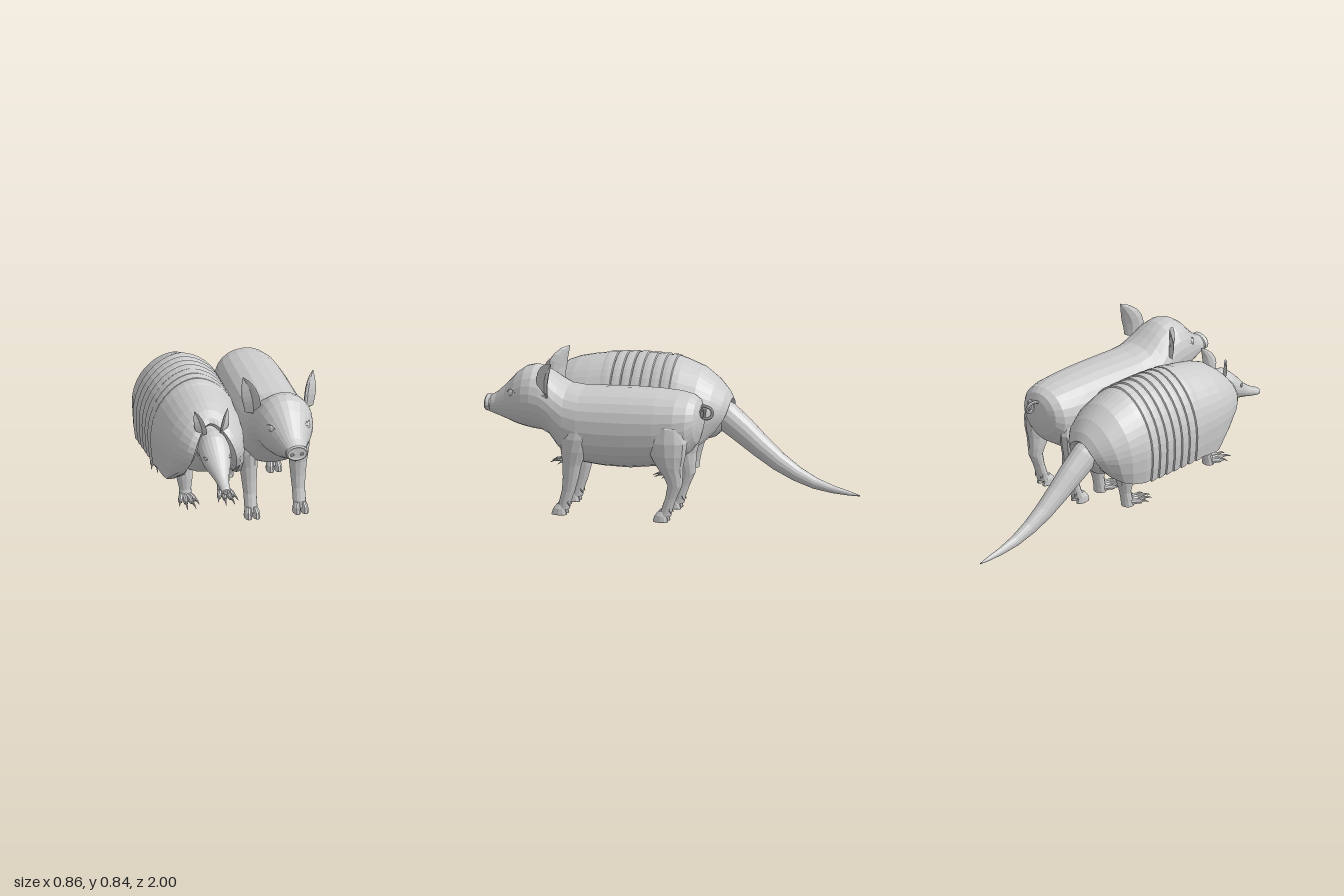
import * as THREE from 'three';

const material = new THREE.MeshStandardMaterial({ color: 0xcccccc, flatShading: true });
const shellMaterial = new THREE.MeshStandardMaterial({ color: 0xcccccc, flatShading: true, side: THREE.DoubleSide });
const V = (x, y, z) => new THREE.Vector3(x, y, z);
const X = V(1, 0, 0);
const spow = (v, e) => Math.sign(v) * Math.abs(v) ** e;

function add(parent, name, geometry, mat = material) {
  const flat = geometry.index ? geometry.toNonIndexed() : geometry;
  flat.computeVertexNormals();
  const mesh = new THREE.Mesh(flat, mat);
  mesh.name = name;
  parent.add(mesh);
  return mesh;
}

// Skin a list of equal-length point rings; closed rings also get end caps.
function loft(rings, closed = true) {
  const n = rings[0].length, index = [];
  const steps = closed ? n : n - 1;
  for (let i = 0; i < rings.length - 1; i++) {
    for (let j = 0; j < steps; j++) {
      const a = i * n + j, b = i * n + (j + 1) % n;
      index.push(a, b, a + n, b, b + n, a + n);
    }
  }
  if (closed) {
    const e = (rings.length - 1) * n;
    for (let j = 1; j < n - 1; j++) index.push(0, j + 1, j, e, e + j, e + j + 1);
  }
  const g = new THREE.BufferGeometry().setFromPoints(rings.flat());
  g.setIndex(index);
  return g;
}

// Elliptical ring across direction w; an exponent below 1 squares it off.
function ring(c, w, rx, rv, n, e = 1) {
  const v = w.clone().cross(X).normalize();
  return Array.from({ length: n }, (_, i) => {
    const a = (i / n) * Math.PI * 2;
    return c.clone().addScaledVector(X, rx * spow(Math.cos(a), e)).addScaledVector(v, rv * spow(Math.sin(a), e));
  });
}

// Rows of [z, bottom, top, halfWidth, exponent], running forwards.
const torso = (rows, n) => loft(rows.map(([z, b, t, w, e]) =>
  ring(V(0, (b + t) / 2, z), V(0, 0, 1), w, (t - b) / 2, n, e)));

// Rows of [y, x, z, halfWidth, halfDepth], running downwards.
const limb = (rows, n = 12) => loft(rows.map(([y, x, z, rx, rz]) =>
  ring(V(x, y, z), V(0, -1, 0), rx, rz, n)));

// Leaf-shaped cupped ear along a spine, hollow towards the front.
function ear(spine, across, halfWidth, thickness, base) {
  const curve = new THREE.CatmullRomCurve3(spine);
  const widths = [base, (1 + base) / 2, 1, 1, 0.85, 0.55, 0.04];
  const section = [[-1, 0.5], [-0.6, -0.6], [0, -1.1], [0.6, -0.6], [1, 0.5], [0.8, 0.55], [0, -0.4], [-0.8, 0.55]];
  return loft(widths.map((s, i) => {
    const t = i / (widths.length - 1);
    const p = curve.getPoint(t), w = curve.getTangent(t);
    const u = across.clone().addScaledVector(w, -across.dot(w)).normalize();
    const v = u.clone().cross(w);
    return section.map(([a, b]) => p.clone().addScaledVector(u, a * s * halfWidth)
      .addScaledVector(v, b * s * thickness)).reverse();
  }));
}

// Eyeball with almond lids, facing sideways and forwards.
function eye(parent, x, y, z, r) {
  const g = new THREE.Group();
  g.name = 'eye';
  add(g, 'eyeball', new THREE.SphereGeometry(r * 0.9, 10, 8));
  const lid = add(g, 'eyelids', new THREE.TorusGeometry(r * 1.05, r * 0.25, 5, 12));
  lid.scale.set(1.3, 0.85, 1);
  lid.rotation.z = 0.3;
  g.position.set(x, y, z);
  g.rotation.set(0, 0.95, 0);
  g.scale.z = 0.7;
  parent.add(g);
}

function bothSides(parent, name, build) {
  for (const s of [1, -1]) {
    const side = new THREE.Group();
    side.name = (s > 0 ? 'left ' : 'right ') + name;
    side.scale.x = s;
    build(side);
    parent.add(side);
  }
}

function createPig() {
  const pig = new THREE.Group();
  pig.name = 'pig';
  add(pig, 'body and head', torso([
    [-0.232, 0.52, 0.57, 0.025], [-0.226, 0.465, 0.62, 0.08], [-0.21, 0.41, 0.652, 0.125], [-0.175, 0.36, 0.673, 0.16, 0.95],
    [-0.11, 0.315, 0.684, 0.18, 0.9], [0, 0.275, 0.69, 0.19, 0.88], [0.15, 0.255, 0.69, 0.195, 0.88], [0.3, 0.257, 0.682, 0.196, 0.86],
    [0.42, 0.27, 0.675, 0.196, 0.85], [0.5, 0.3, 0.685, 0.188, 0.88], [0.545, 0.345, 0.71, 0.178, 0.92], [0.59, 0.4, 0.742, 0.168],
    [0.64, 0.425, 0.77, 0.16], [0.69, 0.43, 0.78, 0.156], [0.74, 0.438, 0.766, 0.145], [0.79, 0.45, 0.728, 0.122],
    [0.845, 0.47, 0.665, 0.09], [0.9, 0.488, 0.612, 0.065], [0.935, 0.5, 0.59, 0.054]], 24));
  add(pig, 'snout', torso([[0.925, 0.505, 0.588, 0.052], [0.935, 0.504, 0.594, 0.061],
    [0.955, 0.506, 0.594, 0.061], [0.962, 0.513, 0.587, 0.053], [0.958, 0.52, 0.58, 0.045]], 20));

  bothSides(pig, 'pig features', (s) => {
    add(s, 'ear', ear([V(0.15, 0.65, 0.605), V(0.157, 0.72, 0.608), V(0.169, 0.78, 0.592), V(0.194, 0.84, 0.552)],
      V(0.65, -0.15, -0.65), 0.057, 0.016, 0.85));
    eye(s, 0.098, 0.636, 0.798, 0.024);
    const nostril = add(s, 'nostril', new THREE.TorusGeometry(0.008, 0.003, 6, 12));
    nostril.position.set(0.027, 0.543, 0.959);

    add(s, 'frontLeg', limb([[0.58, 0.1, 0.4, 0.03, 0.03], [0.5, 0.132, 0.41, 0.06, 0.07], [0.43, 0.142, 0.425, 0.062, 0.083],
      [0.36, 0.143, 0.44, 0.058, 0.073], [0.28, 0.137, 0.452, 0.05, 0.052], [0.2, 0.135, 0.46, 0.042, 0.043],
      [0.13, 0.134, 0.472, 0.036, 0.036], [0.07, 0.134, 0.49, 0.036, 0.033], [0.03, 0.134, 0.5, 0.036, 0.036]]));
    add(s, 'hindLeg', limb([[0.61, 0.08, -0.07, 0.03, 0.04], [0.52, 0.126, -0.073, 0.06, 0.095], [0.44, 0.14, -0.075, 0.06, 0.11],
      [0.37, 0.142, -0.078, 0.058, 0.1], [0.31, 0.14, -0.088, 0.053, 0.076], [0.25, 0.136, -0.108, 0.044, 0.053],
      [0.2, 0.135, -0.117, 0.036, 0.04], [0.13, 0.134, -0.095, 0.032, 0.031], [0.07, 0.134, -0.075, 0.034, 0.031],
      [0.03, 0.134, -0.06, 0.036, 0.036]]));
    // cloven hooves with dewclaws behind
    for (const z of [0.5, -0.06]) {
      for (const d of [-1, 1]) {
        const x = 0.134 + d * 0.022;
        add(s, 'hoof', limb([[0.06, x - d * 0.006, z + 0.01, 0.014, 0.02], [0.035, x, z + 0.017, 0.019, 0.033],
          [0.006, x, z + 0.017, 0.0215, 0.043], [0, x, z + 0.017, 0.02, 0.042]], 10));
        const claw = add(s, 'dewclaw', new THREE.ConeGeometry(0.01, 0.03, 6));
        claw.position.set(x, 0.06, z - 0.036);
        claw.rotation.x = Math.PI + 0.5;
      }
    }
  });

  // curled tail
  const curl = [V(0, 0.6, -0.215), V(0.0, 0.615, -0.24)];
  for (let i = 0; i <= 8; i++) {
    const a = 1.6 + (i / 8) * 6;
    curl.push(V(0.005 + i * 0.004, 0.582 + 0.03 * Math.sin(a), -0.262 + 0.03 * Math.cos(a)));
  }
  curl.push(V(0.03, 0.56, -0.25));
  add(pig, 'tail', new THREE.TubeGeometry(new THREE.CatmullRomCurve3(curl), 40, 0.009, 7));
  pig.position.x = 0.225;
  return pig;
}

// Shell arch with rolled-under rims. low moves the bottom in z, bulge the middle,
// flare spreads the bottom; the left flank is flattened against its neighbour.
function arch(z, w, top, bot, low = 0, bulge = 0, flare = 0) {
  const mid = 0.45, rim = [[0.82, bot + 0.05], [0.88, bot + 0.004], [0.95, bot], [0.99, (bot + mid) / 2]];
  const outline = rim.map(([k, y]) => [k * w, y]);
  for (let i = 0; i <= 20; i++) {
    const a = (i / 20) * Math.PI;
    outline.push([w * spow(Math.cos(a), 1.1), mid + (top - mid) * Math.sin(a)]);
  }
  outline.push(...rim.reverse().map(([k, y]) => [-k * w, y]));
  return outline.map(([x, y]) => {
    const u = (top - y) / (top - bot);
    const wide = x + Math.sign(x) * flare * u * u;
    return V(Math.min(wide, 0.205 + 0.3 * Math.max(0, wide - 0.205)), y, z + low * u * u + bulge * 4 * u * (1 - u));
  });
}

function createArmadillo() {
  const beast = new THREE.Group();
  beast.name = 'armadillo';
  add(beast, 'body', torso([[-0.25, 0.38, 0.53, 0.07], [-0.2, 0.335, 0.6, 0.13], [-0.1, 0.305, 0.69, 0.18, 0.9],
    [0.1, 0.3, 0.715, 0.2, 0.85], [0.35, 0.3, 0.715, 0.2, 0.85], [0.5, 0.302, 0.67, 0.185, 0.85], [0.57, 0.32, 0.645, 0.155, 0.9],
    [0.63, 0.37, 0.625, 0.105], [0.67, 0.41, 0.615, 0.08]], 24));

  // shell: rump plate, overlapping bands, shoulder plate
  const rings = [arch(-0.27, 0.08, 0.535, 0.36, 0.09), arch(-0.29, 0.095, 0.55, 0.345, 0.11, 0, 0.04),
    arch(-0.265, 0.135, 0.595, 0.335, 0.1, 0, 0.03), arch(-0.21, 0.19, 0.655, 0.32, 0.07, 0, 0.01),
    arch(-0.13, 0.228, 0.715, 0.31, 0.03), arch(-0.03, 0.247, 0.753, 0.3)];
  for (let i = 0; i < 7; i++) {
    const z = 0.005 + i * 0.055;
    const w = 0.252 - 0.0015 * i, top = 0.774 - 0.0009 * (i - 2.5) ** 2;
    rings.push(arch(z, w - 0.004, top - 0.006, 0.303), arch(z + 0.004, w + 0.003, top + 0.002, 0.295),
      arch(z + 0.03, w + 0.002, top + 0.001, 0.297), arch(z + 0.051, w - 0.002, top - 0.003, 0.3));
  }
  rings.push(arch(0.395, 0.24, 0.755, 0.3), arch(0.47, 0.234, 0.742, 0.292, -0.02, 0.005),
    arch(0.55, 0.217, 0.724, 0.286, -0.05, 0.025, 0.01), arch(0.61, 0.185, 0.7, 0.284, -0.08, 0.055, 0.03),
    arch(0.65, 0.145, 0.67, 0.285, -0.11, 0.09, 0.04), arch(0.665, 0.11, 0.643, 0.29, -0.13, 0.11, 0.055),
    arch(0.63, 0.085, 0.615, 0.31, -0.13, 0.1, 0.055));
  add(beast, 'shell', loft(rings, false), shellMaterial);

  add(beast, 'head', torso([[0.58, 0.41, 0.6, 0.075], [0.66, 0.42, 0.616, 0.077], [0.72, 0.425, 0.623, 0.082], [0.76, 0.423, 0.61, 0.084],
    [0.795, 0.418, 0.58, 0.081], [0.83, 0.412, 0.545, 0.07], [0.86, 0.405, 0.51, 0.057], [0.89, 0.396, 0.478, 0.044],
    [0.93, 0.383, 0.445, 0.033], [0.97, 0.373, 0.42, 0.026], [0.99, 0.37, 0.412, 0.026], [1, 0.376, 0.404, 0.019]], 24));

  // long tapering tail
  const tailRows = [[-0.18, 0.49, 0.085], [-0.26, 0.45, 0.08], [-0.35, 0.38, 0.073], [-0.45, 0.296, 0.062], [-0.55, 0.22, 0.052],
    [-0.65, 0.16, 0.041], [-0.75, 0.116, 0.031], [-0.85, 0.09, 0.021], [-0.94, 0.075, 0.012], [-1, 0.066, 0.003]];
  const path = new THREE.CatmullRomCurve3(tailRows.map(([z, y], i) => V(i * 0.0017, y, z)));
  add(beast, 'tail', loft(tailRows.map(([, , r], i) => {
    const t = i / (tailRows.length - 1);
    return ring(path.getPoint(t), path.getTangent(t), r * 0.88, r, 16);
  })));

  bothSides(beast, 'armadillo features', (s) => {
    add(s, 'ear', ear([V(0.05, 0.585, 0.7), V(0.062, 0.635, 0.708), V(0.074, 0.68, 0.702), V(0.092, 0.728, 0.675)],
      V(0.65, -0.15, -0.6), 0.036, 0.011, 0.6));
    eye(s, 0.067, 0.512, 0.82, 0.011);
    const nostril = add(s, 'nostril', new THREE.TorusGeometry(0.006, 0.0025, 5, 10));
    nostril.position.set(0.011, 0.39, 0.999);

    add(s, 'frontLeg', limb([[0.46, 0.11, 0.49, 0.05, 0.06], [0.36, 0.108, 0.505, 0.052, 0.053], [0.28, 0.105, 0.52, 0.044, 0.041],
      [0.22, 0.104, 0.53, 0.033, 0.029], [0.185, 0.105, 0.538, 0.034, 0.028], [0.16, 0.106, 0.543, 0.036, 0.03]]));
    add(s, 'hindLeg', limb([[0.46, 0.11, -0.06, 0.05, 0.08], [0.36, 0.112, -0.06, 0.056, 0.078], [0.27, 0.108, -0.062, 0.044, 0.047],
      [0.21, 0.106, -0.06, 0.033, 0.032], [0.16, 0.107, -0.05, 0.034, 0.032], [0.125, 0.108, -0.045, 0.037, 0.034]]));
    // splayed toes ending in claws
    for (const [z, y, count, length] of [[0.545, 0.16, 4, 0.145], [-0.04, 0.125, 5, 0.16]]) {
      for (let i = 0; i < count; i++) {
        const k = (i / (count - 1)) * 2 - 1;
        const l = length * (1 - 0.35 * k * k);
        const rows = [[0, 0.024, 0.014, 0.02], [0.35, 0.022, 0.014, 0.017], [0.55, 0.016, 0.012, 0.013],
          [0.6, 0.019, 0.007, 0.009], [0.8, 0.016, 0.005, 0.006], [1, 0.002, 0.001, 0.001]];
        const toe = add(s, 'toe', loft(rows.map(([t, h, rx, ry]) => ring(V(0, h, t * l), V(0, 0, 1), rx, ry, 8))));
        toe.position.set(0.107 + k * 0.022, y - 0.002, z);
        toe.rotation.y = k * 0.36;
      }
    }
  });
  beast.position.x = -0.177;
  return beast;
}

export function createModel() {
  const model = new THREE.Group();
  model.name = 'pig and armadillo';
  model.add(createPig(), createArmadillo());
  return model;
}
